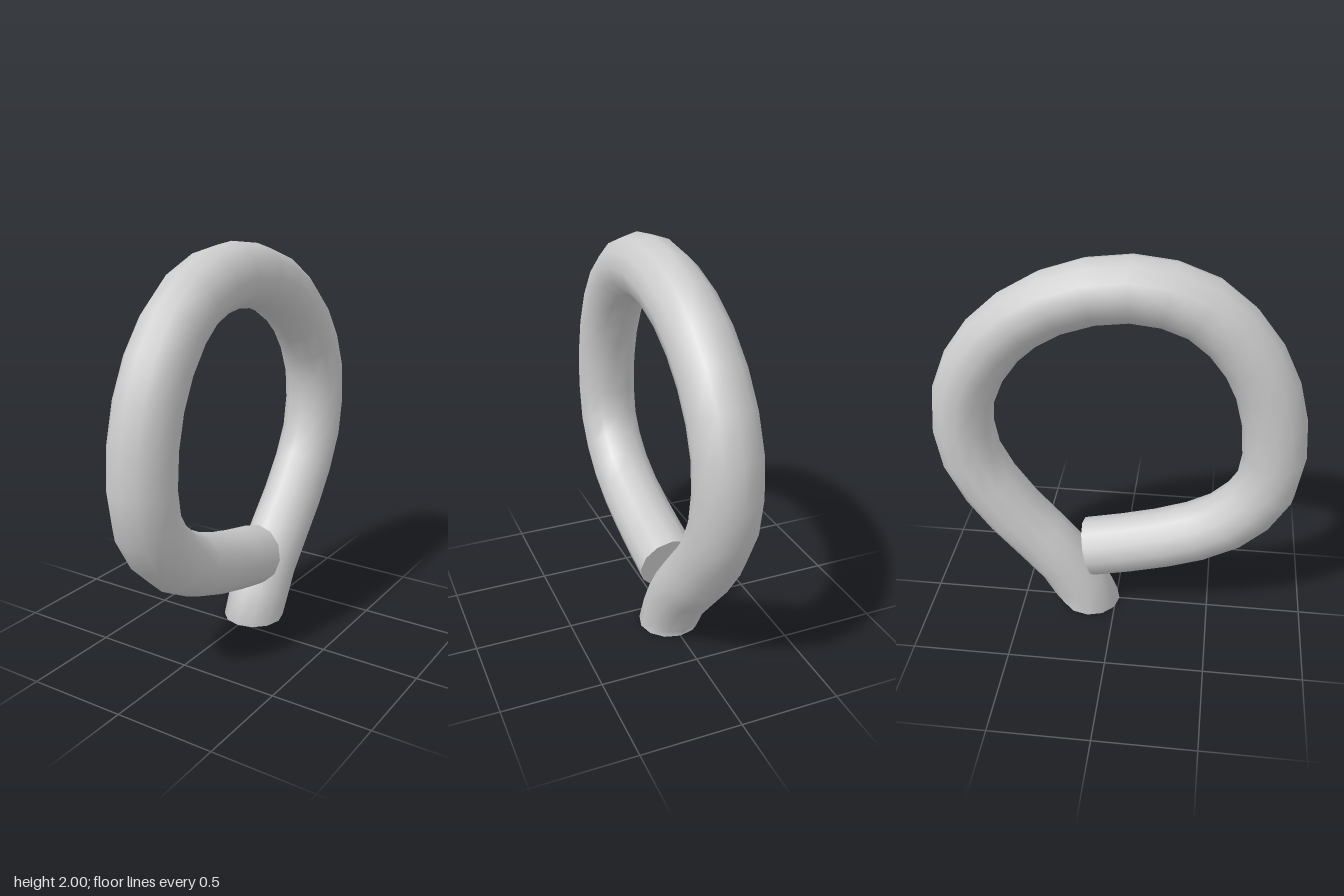
import * as THREE from 'three';

const RADIUS = 0.157, SIDES = 12;

// centreline [z, y] in the x = 0 plane, from the foot round the loop to the free end
const PATH = [
  [-0.138, 0], [-0.27, 0.25], [-0.54, 0.56], [-0.743, 0.895], [-0.758, 1.245],
  [-0.593, 1.545], [-0.303, 1.758], [0.07, 1.843], [0.405, 1.763], [0.645, 1.52],
  [0.768, 1.185], [0.755, 0.82], [0.565, 0.585], [0.243, 0.443], [-0.143, 0.35],
];

export function createModel() {
  const group = new THREE.Group();
  group.name = 'loopedRod';
  const material = new THREE.MeshStandardMaterial({ color: 0xcccccc });

  const curve = new THREE.CatmullRomCurve3(
    PATH.map(([z, y]) => new THREE.Vector3(0, y, z)), false, 'centripetal');
  // place rings on the control points and halfway between; the foot is cut level
  curve.getPointAt = (t, target) => curve.getPoint(t, target);
  curve.getTangentAt = (t, target = new THREE.Vector3()) =>
    t === 0 ? target.set(0, 1, 0) : curve.getTangent(t, target);

  // bent rod
  const rod = new THREE.Mesh(
    new THREE.TubeGeometry(curve, (PATH.length - 1) * 2, RADIUS, SIDES, false), material);
  rod.name = 'rod';
  group.add(rod);

  // flat discs closing both ends
  for (const [name, t, sign] of [['footCap', 0, -1], ['hookEndCap', 1, 1]]) {
    const cap = new THREE.Mesh(new THREE.CircleGeometry(RADIUS, SIDES), material);
    cap.name = name;
    cap.position.copy(curve.getPointAt(t));
    cap.quaternion.setFromUnitVectors(
      new THREE.Vector3(0, 0, 1), curve.getTangentAt(t).multiplyScalar(sign));
    group.add(cap);
  }
  return group;
}
